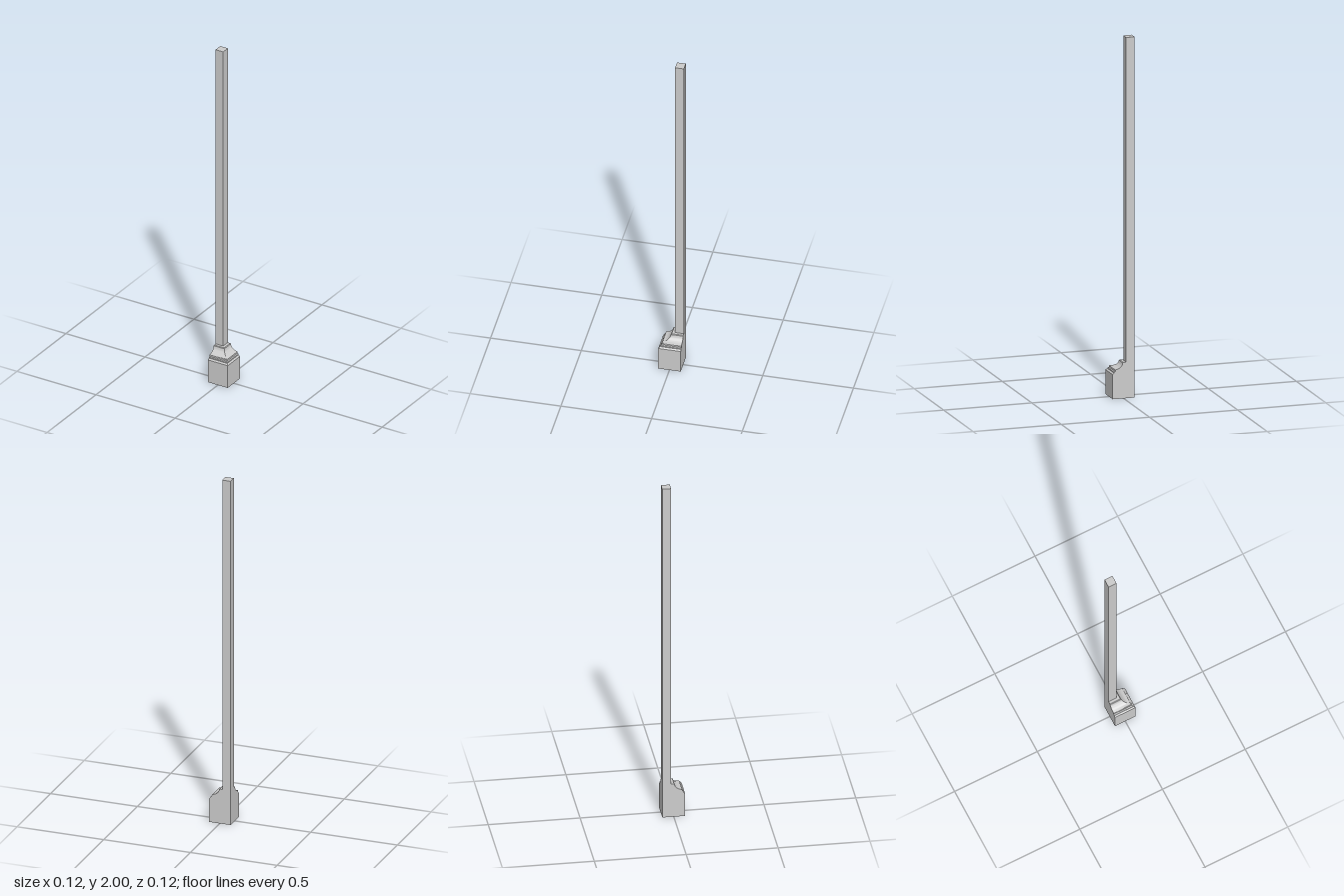
import * as THREE from 'three';
import { toCreasedNormals } from 'three/addons/utils/BufferGeometryUtils.js';

const H = 0.062; // half the base width; the two flat wall sides lie at x = -H and z = -H

// Stack of square sections sharing the back corner; profile = [outer edge, height], bottom to top
function cornerSweep(profile) {
  const ring = ([r, y]) => [[-H, y, -H], [-H, y, r], [r, y, r], [r, y, -H]];
  const pos = [];
  const quad = (a, b, c, d) => pos.push(...a, ...b, ...c, ...a, ...c, ...d);
  const rings = profile.map(ring);
  for (let i = 0; i < rings.length - 1; i++) {
    const lo = rings[i], hi = rings[i + 1];
    for (let k = 0; k < 4; k++) {
      const n = (k + 1) % 4;
      quad(lo[k], lo[n], hi[n], hi[k]);
    }
  }
  quad(...rings[0].slice().reverse());
  quad(...rings[rings.length - 1]);
  const g = new THREE.BufferGeometry();
  g.setAttribute('position', new THREE.Float32BufferAttribute(pos, 3));
  return toCreasedNormals(g, 0.5);
}

export function createModel() {
  const group = new THREE.Group();
  const material = new THREE.MeshStandardMaterial({ color: 0xcccccc });
  const add = (name, geometry) => {
    const mesh = new THREE.Mesh(geometry, material);
    mesh.name = name;
    group.add(mesh);
  };

  // Concave curve of the moulding, from its lower lip up to the neck
  const cove = new THREE.QuadraticBezierCurve(
    new THREE.Vector2(0.044, 0.162), new THREE.Vector2(0.014, 0.168), new THREE.Vector2(0.006, 0.189)
  ).getPoints(10).map((p) => [p.x, p.y]);

  // Plinth block with stepped moulding
  add('plinth', cornerSweep([
    [H, 0], [H, 0.136], [0.054, 0.144], [0.053, 0.149],
    [0.047, 0.152], [0.046, 0.16],
    ...cove,
    [0.005, 0.197], [0.001, 0.2],
  ]));

  // Tall square post
  add('post', cornerSweep([[-0.014, 0.2], [-0.014, 2]]));
  return group;
}
